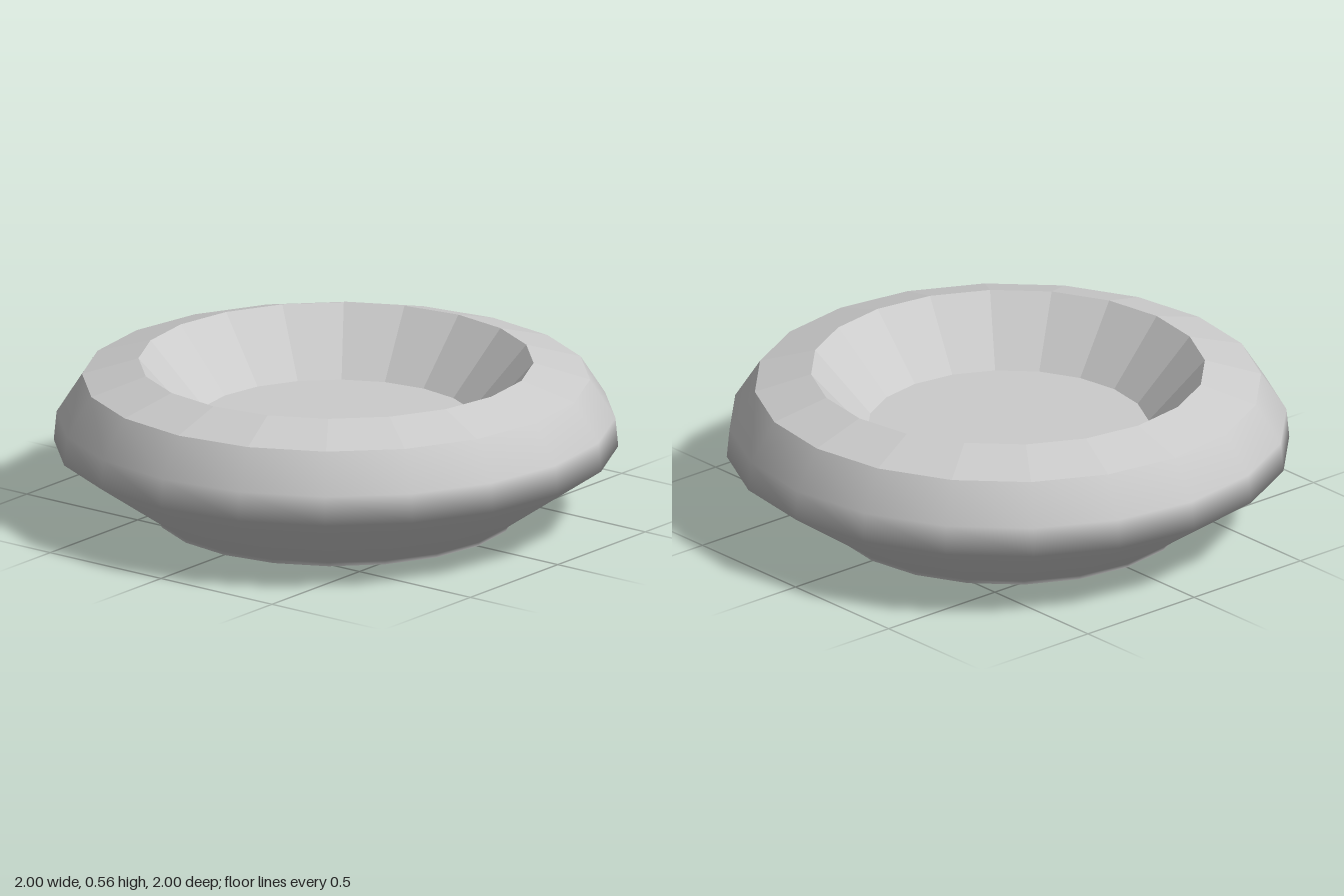
import * as THREE from 'three';

const SIDES = 20;

// Revolve a profile of [radius, height] points, bottom to top and then inward
function turned(name, profile, flatShading) {
  const points = profile.map(([r, y]) => new THREE.Vector2(r, y));
  const material = new THREE.MeshStandardMaterial({ color: 0xcccccc, flatShading });
  const mesh = new THREE.Mesh(new THREE.LatheGeometry(points, SIDES), material);
  mesh.name = name;
  return mesh;
}

// Horizontal disc with the same number of sides as the bowl
function disc(name, radius, y, facing) {
  const geometry = new THREE.CircleGeometry(radius, SIDES);
  geometry.rotateX(-facing * Math.PI / 2);
  const mesh = new THREE.Mesh(geometry, new THREE.MeshStandardMaterial({ color: 0xcccccc }));
  mesh.position.y = y;
  mesh.name = name;
  return mesh;
}

export function createModel() {
  const bowl = new THREE.Group();
  bowl.name = 'bowl';
  bowl.add(
    // Smooth flared outside
    turned('outerWall', [[0.64, 0], [0.645, 0.015], [1, 0.26], [0.99, 0.365], [0.9, 0.505]], false),
    // Faceted sloping rim and inside
    turned('rim', [[0.9, 0.505], [0.7, 0.565]], true),
    turned('innerWall', [[0.7, 0.565], [0.5, 0.34]], true),
    // Flat floor and underside
    disc('floor', 0.5, 0.34, 1),
    disc('base', 0.64, 0, -1)
  );
  return bowl;
}
